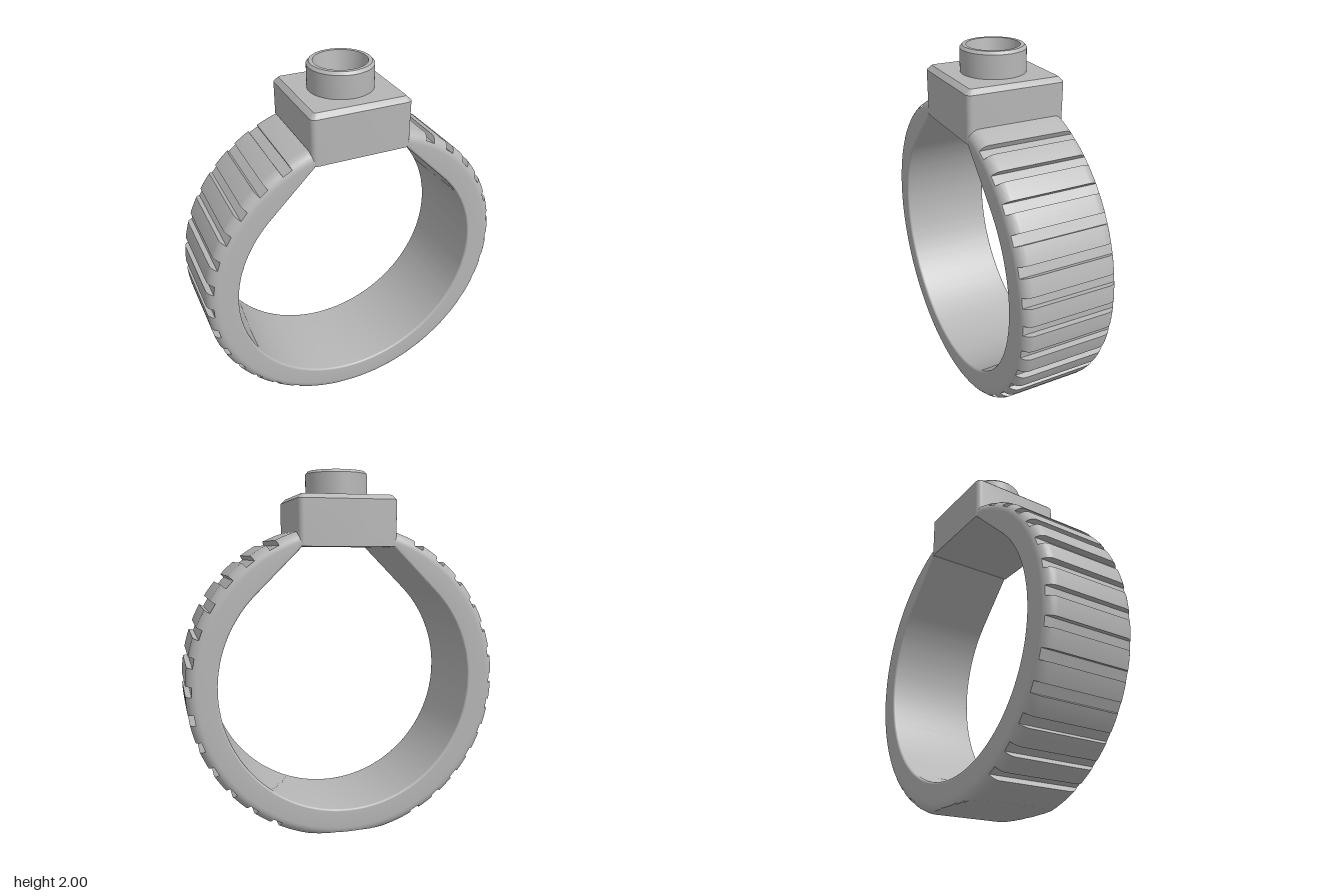
import * as THREE from 'three';
import { toCreasedNormals } from 'three/addons/utils/BufferGeometryUtils.js';

const CY = 0.84;        // height of the ring's centre
const INNER = 0.705;
const OUTER = 0.87;
const FLOOR = 0.84;     // radius of the groove floors
const HALF = 0.27;      // half the band width
const PITCH = 360 / 35; // angle between grooves
const rad = THREE.MathUtils.degToRad;

// Skin a list of equal-length closed convex loops and cap both ends.
function loft(loops, crease) {
  const pos = [];
  const ab = new THREE.Vector3(), ac = new THREE.Vector3();
  const tri = (a, b, c) => {
    ab.subVectors(b, a);
    ac.subVectors(c, a);
    if (ab.cross(ac).length() < 1e-9) return;
    for (const p of [a, b, c]) pos.push(p.x, p.y, p.z);
  };
  const n = loops[0].length;
  for (let i = 0; i < loops.length - 1; i++) {
    for (let j = 0; j < n; j++) {
      const k = (j + 1) % n;
      const a = loops[i][j], b = loops[i][k], c = loops[i + 1][k], d = loops[i + 1][j];
      tri(a, d, c);
      tri(a, c, b);
    }
  }
  const first = loops[0], last = loops[loops.length - 1];
  for (let j = 1; j < n - 1; j++) {
    tri(first[0], first[j], first[j + 1]);
    tri(last[0], last[j + 1], last[j]);
  }
  const geo = new THREE.BufferGeometry();
  geo.setAttribute('position', new THREE.Float32BufferAttribute(pos, 3));
  return toCreasedNormals(geo, crease);
}

// Quarter-circle corner points from one angle over the next 90 degrees.
function corner(cx, cy, r, from, steps) {
  return Array.from({ length: steps + 1 }, (_, i) => {
    const a = rad(from + (90 * i) / steps);
    return [cx + r * Math.cos(a), cy + r * Math.sin(a)];
  });
}

// Band cross-section at one angle: rounded outer edges, slightly eased inner ones.
function bandLoop(deg, limit) {
  const side = Math.max(deg, -180 - deg);
  const inner = side > 45 ? INNER / Math.cos(rad(side - 45)) : INNER;
  const s = Math.sin(rad(deg)), c = Math.cos(rad(deg));
  const flat = s < 0 ? CY / -s : Infinity; // flat foot at y = 0
  const f = 0.06, e = 0.012;
  return [
    ...corner(OUTER - f, HALF - f, f, 0, 9),
    ...corner(inner + e, HALF - e, e, 90, 9),
    ...corner(inner + e, e - HALF, e, 180, 9),
    ...corner(OUTER - f, f - HALF, f, 270, 9),
  ].map(([r, z]) => {
    const q = Math.min(r, limit, flat);
    return new THREE.Vector3(q * c, CY + q * s, z);
  });
}

function bandGeometry() {
  const end = 71.5, half = 1.88;
  const grooves = [];
  for (let k = -6; k <= 6; k++) grooves.push(k * PITCH, -180 + k * PITCH);
  const stations = [];
  const steps = 216;
  for (let i = 0; i <= steps; i++) {
    const t = -180 - end + ((180 + 2 * end) * i) / steps;
    if (!grooves.some((g) => Math.abs(g - t) < half + 0.1)) stations.push([t, OUTER]);
  }
  // ends of the flat foot
  const foot = THREE.MathUtils.radToDeg(Math.acos(CY / OUTER));
  stations.push([-90 - foot, OUTER], [-90 + foot, OUTER]);
  for (const g of grooves) {
    stations.push([g - half, OUTER], [g - half, FLOOR], [g + half, FLOOR], [g + half, OUTER]);
  }
  stations.sort((a, b) => a[0] - b[0]);
  return loft(stations.map(([t, r]) => bandLoop(t, r)), 0.22);
}

// Rounded square block with a chamfered top.
function blockGeometry() {
  const loop = (y, h, r) => [
    ...corner(h - r, h - r, r, 0, 6),
    ...corner(r - h, h - r, r, 90, 6),
    ...corner(r - h, r - h, r, 180, 6),
    ...corner(h - r, r - h, r, 270, 6),
  ].map(([x, z]) => new THREE.Vector3(x, y, z));
  return loft([loop(1.588, 0.273, 0.03), loop(1.837, 0.273, 0.03), loop(1.862, 0.248, 0.015)], 0.4);
}

// Round socket with a tapered blind hole.
function socketGeometry() {
  const profile = [
    [0.173, 1.85], [0.173, 1.985], [0.16, 2], [0.14, 2], [0.121, 1.89], [0, 1.89],
  ].map(([x, y]) => new THREE.Vector2(x, y));
  return toCreasedNormals(new THREE.LatheGeometry(profile, 64).toNonIndexed(), 0.4);
}

export function createModel() {
  const metal = new THREE.MeshStandardMaterial({ color: 0xb6b6b6 });
  metal.name = 'grey metal';
  const model = new THREE.Group();
  model.name = 'ring';
  const add = (name, geometry) => {
    const mesh = new THREE.Mesh(geometry, metal);
    mesh.name = name;
    model.add(mesh);
  };
  add('groovedBand', bandGeometry());
  add('settingBlock', blockGeometry());
  add('socket', socketGeometry());
  return model;
}
